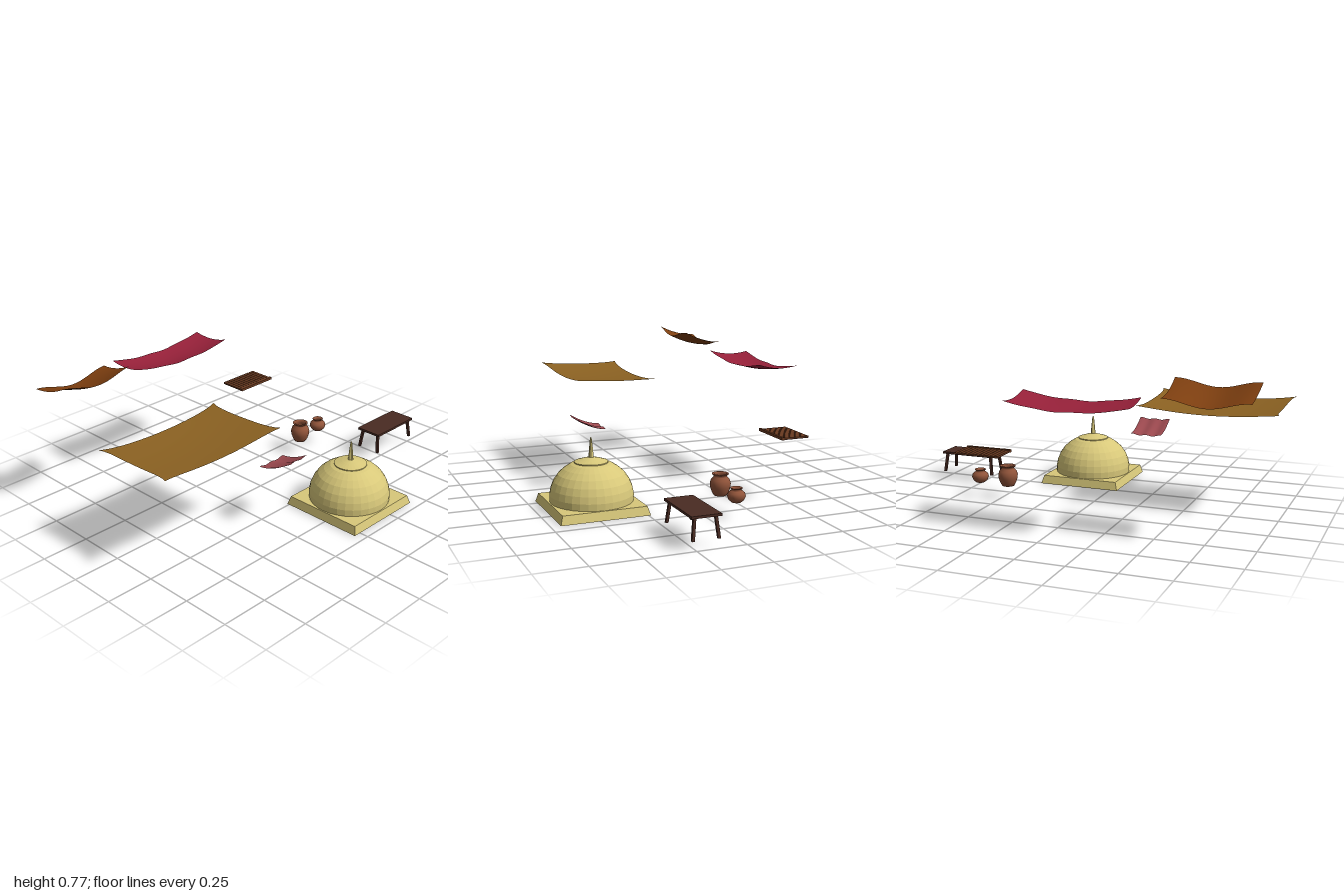
import * as THREE from 'three';

const mat = (name, color, opts = {}) => {
  const m = new THREE.MeshStandardMaterial({ color, ...opts });
  m.name = name;
  return m;
};
const both = { side: THREE.DoubleSide };

export function createModel() {
  const root = new THREE.Group();
  root.name = 'marketProps';
  const M = {
    stone: mat('paleStone', 0xd8c87a, { flatShading: true }),
    tan: mat('tanCloth', 0x8c6222, both),
    brown: mat('brownCloth', 0x7e3f10, both),
    red: mat('redCloth', 0x98213a, both),
    pink: mat('pinkCloth', 0x9e4a50, both),
    clay: mat('clay', 0x91543a, both),
    wood: mat('darkWood', 0x4a2b22),
    slat: mat('slatWood', 0x6a3a20),
  };

  const add = (parent, name, geo, material, x = 0, y = 0, z = 0) => {
    const mesh = new THREE.Mesh(geo, material);
    mesh.name = name;
    mesh.position.set(x, y, z);
    parent.add(mesh);
    return mesh;
  };
  const group = (name, x, y, z) => {
    const g = new THREE.Group();
    g.name = name;
    g.position.set(x, y, z);
    root.add(g);
    return g;
  };
  const lathe = (pts, seg) =>
    new THREE.LatheGeometry(pts.map(([r, y]) => new THREE.Vector2(r, y)), seg);

  // Sagging cloth: rule maps u, v in [-1, 1] (v = 1 is the front edge) to a point
  const cloth = (name, material, rule) => {
    const geo = new THREE.PlaneGeometry(2, 2, 24, 16);
    geo.rotateX(-Math.PI / 2);
    const p = geo.attributes.position;
    for (let i = 0; i < p.count; i++) p.setXYZ(i, ...rule(p.getX(i), p.getZ(i)));
    geo.computeVertexNormals();
    add(root, name, geo, material);
  };
  const mix = THREE.MathUtils.lerp;
  const dip = (t) => 1 - t * t;

  cloth('largeTanAwning', M.tan, (u, v) => [
    -0.63 + u * (0.35 + 0.02 * v ** 6),
    mix(0.56, 0.577, (v + 1) / 2) - 0.028 * dip(u) - 0.009 * dip(v),
    0.151 + v * (0.218 + 0.017 * u ** 6),
  ]);
  cloth('brownAwning', M.brown, (u, v) => [
    -0.765 + u * (0.208 + 0.003 * v * v),
    mix(0.706, 0.77, (v + 1) / 2) - 0.037 * (0.5 + 0.5 * Math.cos(Math.PI * u)) - 0.014 * dip(v),
    -0.488 + v * 0.113 + 0.012 * dip(u),
  ]);
  cloth('redAwning', M.red, (u, v) => [
    -0.112 + u * 0.307,
    mix(0.664, 0.68, (v + 1) / 2) - 0.036 * dip(u) - 0.017 * dip(v)
      + 0.003 * Math.sin(u * 9) * v * (1 - Math.abs(u)),
    -0.584 + v * 0.118,
  ]);
  cloth('smallPinkCloth', M.pink, (u, v) => [
    -0.2 + u * 0.086,
    mix(0.329, 0.391, ((v + 1) / 2) ** 1.7) - 0.004 * dip(u) + 0.003 * Math.cos(u * 7),
    0.352 + v * 0.083,
  ]);

  // Domed roof on a square tapering base
  const dome = group('domedRoof', 0.19, 0, 0.469);
  const base = new THREE.CylinderGeometry(0.218 * Math.SQRT2, 0.231 * Math.SQRT2, 0.045, 4);
  base.rotateY(Math.PI / 4);
  add(dome, 'squareBase', base, M.stone, 0, 0.0225, 0);
  add(dome, 'dome', lathe([
    [0.212, 0.044], [0.213, 0.08], [0.206, 0.115], [0.192, 0.15],
    [0.168, 0.185], [0.138, 0.212], [0.105, 0.233], [0.078, 0.241],
  ], 32), M.stone);
  add(dome, 'cap', lathe([
    [0, 0.238], [0.086, 0.24], [0.086, 0.245], [0.045, 0.258], [0.014, 0.266], [0, 0.267],
  ], 24), M.stone);
  add(dome, 'spire', lathe([
    [0.014, 0.264], [0.011, 0.3], [0.006, 0.35], [0.004, 0.366], [0, 0.368],
  ], 10), M.stone);

  // Clay pots, open at the top
  const tallPot = group('tallPot', 0.456, 0.076, -0.122);
  add(tallPot, 'potBody', lathe([
    [0, 0], [0.033, 0], [0.043, 0.018], [0.051, 0.042], [0.053, 0.062], [0.047, 0.082],
    [0.034, 0.095], [0.034, 0.102], [0.042, 0.108], [0.042, 0.112], [0.031, 0.111],
    [0.028, 0.095], [0.04, 0.07], [0.03, 0.01], [0, 0.008],
  ], 24), M.clay);
  const lowPot = group('lowPot', 0.62, 0.082, -0.131);
  add(lowPot, 'potBody', lathe([
    [0, 0], [0.024, 0], [0.038, 0.012], [0.046, 0.031], [0.042, 0.047], [0.029, 0.058],
    [0.022, 0.062], [0.03, 0.07], [0.029, 0.073], [0.018, 0.068],
    [0.018, 0.057], [0.036, 0.035], [0.022, 0.008], [0, 0.006],
  ], 24), M.clay);

  // Low bench with splayed legs
  const bench = group('bench', 0.84, 0, 0.202);
  add(bench, 'benchTop', new THREE.BoxGeometry(0.32, 0.012, 0.148), M.wood, 0, 0.156, 0);
  for (const sx of [-1, 1]) for (const sz of [-1, 1]) {
    const leg = new THREE.BoxGeometry(0.014, 0.107, 0.014);
    const p = leg.attributes.position;
    for (let i = 0; i < p.count; i++) {
      const out = p.getY(i) < 0 ? 0.006 : -0.006;
      p.setX(i, p.getX(i) + sx * out);
      p.setZ(i, p.getZ(i) + sz * out);
    }
    leg.computeVertexNormals();
    add(bench, 'benchLeg', leg, M.wood, sx * 0.145, 0.0985, sz * 0.058);
  }

  // Slatted panel
  const panel = group('slattedPanel', 0.408, 0.345, -0.503);
  add(panel, 'backing', new THREE.BoxGeometry(0.244, 0.004, 0.152), M.wood, 0, 0.003, 0);
  const count = 12, pitch = 0.246 / count;
  for (let i = 0; i < count; i++) {
    add(panel, 'slat', new THREE.BoxGeometry(pitch * 0.84, 0.007, 0.154), M.slat,
      (i - (count - 1) / 2) * pitch, 0.007, 0);
  }
  add(panel, 'frontRail', new THREE.BoxGeometry(0.246, 0.014, 0.014), M.slat, 0, 0.007, 0.07);

  return root;
}
